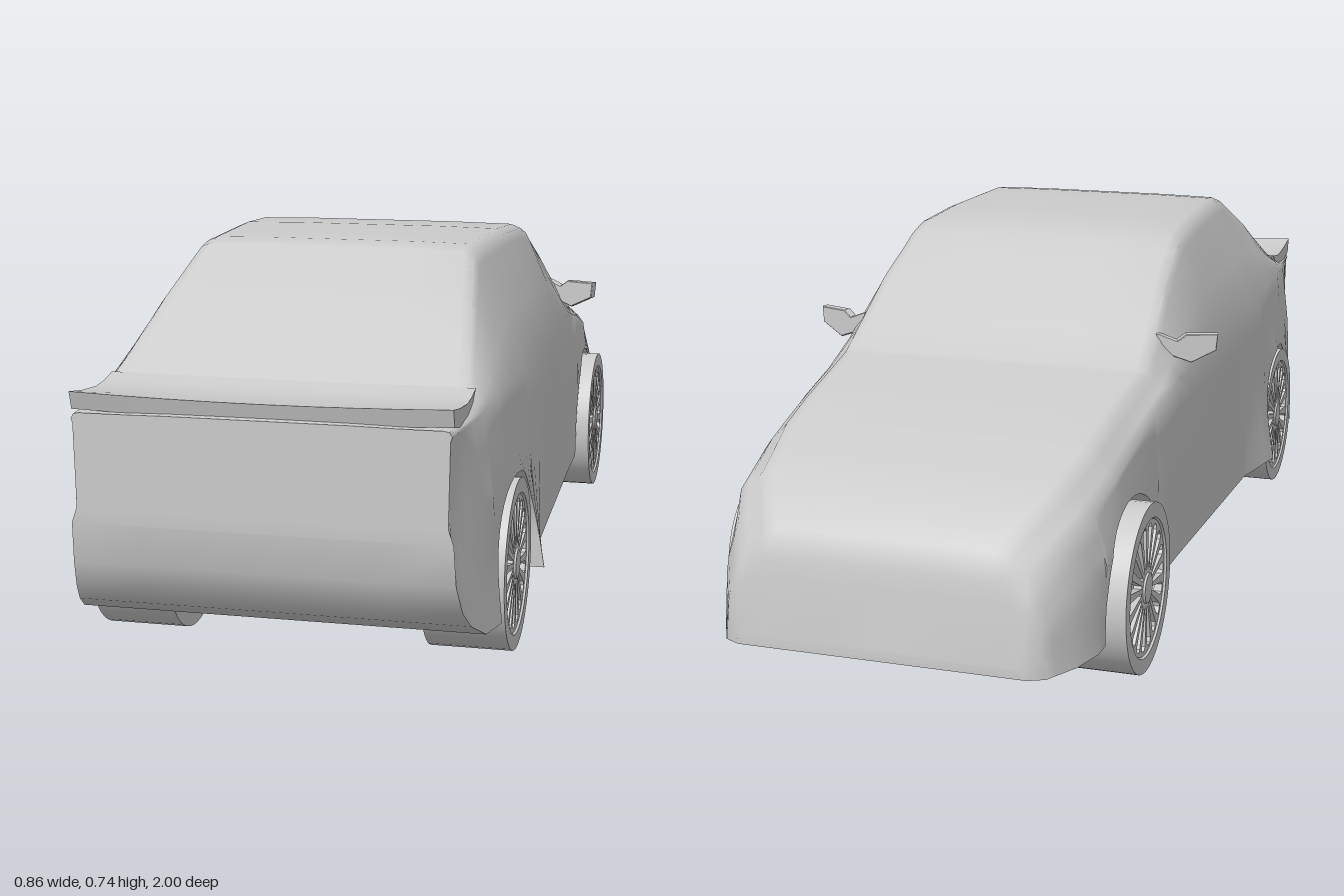
import * as THREE from 'three';
import { toCreasedNormals } from 'three/addons/utils/BufferGeometryUtils.js';

const grey = new THREE.MeshStandardMaterial({ color: 0xcccccc, side: THREE.DoubleSide });
const AXLES = [-0.632, 0.628], WHEEL_R = 0.163, ARCH_R = 0.175;

// A value that varies along z through a few [z, value] knots; the knots also become body stations
const stations = new Set();
function along(...knots) {
  knots.forEach(([z]) => stations.add(z));
  return z => {
    const i = Math.max(1, knots.findIndex(k => k[0] >= z));
    const [z0, v0] = knots[i - 1], [z1, v1] = knots[i];
    return THREE.MathUtils.mapLinear(z, z0, z1, v0, v1);
  };
}

// Heights, nose at -z: floor, belt line, centre top, and how far the roof edge sits below the top
const floorY = along([-1, .113], [.45, .104], [.87, .104], [.93, .137], [.965, .172], [.99, .225], [1, .3]);
const beltY = along([-1, .125], [-.98, .25], [-.92, .315], [-.85, .355], [-.5, .445], [-.3, .485], [.6, .505], [1, .48]);
const topY = along([-1, .135], [-.98, .28], [-.965, .33], [-.92, .367], [-.85, .404], [-.7, .452], [-.6, .476], [-.38, .517],
  [-.2, .64], [-.06, .71], [0, .727], [.15, .735], [.4, .735], [.45, .729], [.6, .65], [.73, .566], [.8, .525], [.87, .505], [1, .5]);
const edgeDrop = along([-1, .005], [-.92, .018], [0, .03], [.45, .03], [.8, .008], [1, .003]);

// Half widths: sill, mid side, belt line, roof edge
const sillW = along([-1, .275], [-.985, .305], [-.92, .34], [-.85, .36], [-.3, .368], [.28, .385], [.45, .42], [.52, .403], [.8, .395], [1, .342]);
const midW = along([-1, .275], [-.98, .3], [-.92, .332], [-.8, .364], [-.4, .368], [.3, .385], [.6, .395], [.87, .37], [1, .332]);
const beltW = along([-1, .275], [-.98, .28], [-.92, .305], [-.85, .332], [-.7, .35], [-.4, .36], [.1, .378], [.4, .38], [.7, .37], [1, .335]);
const roofW = along([-1, .265], [-.965, .235], [-.92, .26], [-.85, .293], [-.7, .315], [-.38, .33], [-.1, .308], [.45, .285], [.8, .338], [1, .333]);

// The sill rises in a circular arch over each wheel
function sillY(z) {
  const d = Math.min(...AXLES.map(c => Math.abs(z - c)));
  return d <= ARCH_R + 1e-6 ? WHEEL_R + Math.sqrt(Math.max(0, ARCH_R ** 2 - d * d)) : floorY(z);
}

// Half cross-section from floor centre, up the side, to roof centre
function halfSection(z) {
  const base = floorY(z), sill = sillY(z), belt = beltY(z), top = topY(z);
  const roofEdge = top - edgeDrop(z), wBelt = beltW(z), wRoof = roofW(z);
  const midY = Math.min(.33, base + .6 * (belt - base));
  const width = y => y < midY
    ? midW(z) + (sillW(z) - midW(z)) * ((midY - y) / (midY - base)) ** 1.3
    : THREE.MathUtils.mapLinear(y, midY, belt, midW(z), wBelt);
  const pts = [[0, base], [.22, base], [.22, sill]];
  for (let k = 0; k <= 6; k++) {
    const y = THREE.MathUtils.lerp(sill, belt, k / 6);
    pts.push([width(y), y]);
  }
  pts.push([(wBelt + wRoof) / 2 + .004, (belt + roofEdge) / 2]);
  pts.push([wRoof, roofEdge], [wRoof - .01, top - .35 * edgeDrop(z)], [wRoof - .03, top - .002], [wRoof * .5, top], [0, top]);
  return pts;
}

function bodyGeometry() {
  for (const c of AXLES) {
    for (let k = 0; k <= 20; k++) stations.add(c - ARCH_R * Math.cos(Math.PI * k / 20));
    stations.add(c - ARCH_R - .001).add(c + ARCH_R + .001);
  }
  const zs = [...stations].sort((a, b) => a - b);
  const pos = [], idx = [];
  const H = halfSection(0).length, N = 2 * H - 2;
  for (const z of zs) {
    const half = halfSection(z);
    const loop = [...half, ...half.slice(1, -1).reverse().map(([x, y]) => [-x, y])];
    for (const [x, y] of loop) pos.push(x, y, z);
  }
  const quad = (a, b, c, d) => idx.push(a, b, c, a, c, d);
  for (let i = 0; i < zs.length - 1; i++)
    for (let j = 0; j < N; j++) {
      const k = (j + 1) % N;
      quad(i * N + j, i * N + k, (i + 1) * N + k, (i + 1) * N + j);
    }
  // nose and tail caps
  const last = (zs.length - 1) * N;
  for (let j = 0; j < H - 1; j++) {
    const l0 = (N - j) % N, l1 = N - j - 1;
    quad(last + j, last + j + 1, last + l1, last + l0);
    quad(l0, l1, j + 1, j);
  }
  const g = new THREE.BufferGeometry();
  g.setAttribute('position', new THREE.Float32BufferAttribute(pos, 3));
  g.setIndex(idx);
  return toCreasedNormals(g, .75);
}

function add(parent, name, geometry) {
  const m = new THREE.Mesh(geometry, grey);
  m.name = name;
  parent.add(m);
  return m;
}

// Wheel along local z, outer face at z = 0
function makeWheel() {
  const wheel = new THREE.Group();
  const profile = [[0, -.155], [WHEEL_R, -.155], [WHEEL_R, 0], [.134, 0], [.13, -.008], [.13, -.03], [0, -.03]];
  const tyre = new THREE.LatheGeometry(profile.map(p => new THREE.Vector2(...p)), 48);
  tyre.rotateX(Math.PI / 2);
  add(wheel, 'tyre', toCreasedNormals(tyre, .5));

  // rim disc with a ring of slots between the spokes
  const rim = new THREE.Shape().absarc(0, 0, .131, 0, Math.PI * 2);
  const slot = [[.04, -.003], [.115, -.012], [.123, -.007], [.123, .007], [.115, .012], [.04, .003]];
  for (let k = 0; k < 18; k++) {
    const a = k / 18 * Math.PI * 2;
    rim.holes.push(new THREE.Path(slot.map(p => new THREE.Vector2(...p).rotateAround(new THREE.Vector2(), a))));
  }
  const spokes = new THREE.ExtrudeGeometry(rim, { depth: .016, bevelEnabled: false, curveSegments: 24 });
  add(wheel, 'spokedRim', spokes).position.z = -.02;
  const hub = new THREE.CylinderGeometry(.028, .032, .01, 24).rotateX(Math.PI / 2);
  add(wheel, 'hubCap', hub).position.z = -.005;
  return wheel;
}

// Door mirror: a thin tapering blade with a foot on the door
function makeMirror(side) {
  const outline = [[.432, .566], [.37, .566], [.352, .553], [.31, .57], [.315, .535], [.38, .511], [.429, .535]];
  const shape = new THREE.Shape(outline.map(([x, y]) => new THREE.Vector2(side * (x - .38), y)));
  const g = new THREE.ExtrudeGeometry(shape, { depth: .01, bevelEnabled: true, bevelSize: .002, bevelThickness: .005, bevelSegments: 2 });
  g.translate(0, 0, -.005);
  g.rotateY(-side * .35);
  g.translate(side * .378, 0, -.255);
  return toCreasedNormals(g, .5);
}

export function createModel() {
  const car = new THREE.Group();
  car.name = 'car';
  add(car, 'body', bodyGeometry());

  // tail spoiler: side profile extruded across the car
  const lip = [[1, .536], [.99, .503], [.87, .478], [.79, .53], [.83, .522], [.87, .519], [.94, .526]];
  const spoilerShape = new THREE.Shape(lip.map(([z, y]) => new THREE.Vector2(-z, y)));
  const spoiler = new THREE.ExtrudeGeometry(spoilerShape, { depth: .68, steps: 8, bevelEnabled: false });
  spoiler.translate(0, 0, -.34).rotateY(Math.PI / 2);
  // dip and bow towards the middle, growing to the trailing edge
  const p = spoiler.attributes.position;
  for (let i = 0; i < p.count; i++) {
    const bow = (1 - (p.getX(i) / .34) ** 2) * (Math.abs(p.getZ(i)) - .79) / .21;
    p.setY(i, p.getY(i) - .009 * bow);
    p.setZ(i, p.getZ(i) - .01 * bow);
  }
  add(car, 'spoiler', toCreasedNormals(spoiler, .5));

  for (const side of [-1, 1]) {
    add(car, side > 0 ? 'leftMirror' : 'rightMirror', makeMirror(side));
    for (const z of AXLES) {
      const wheel = makeWheel();
      wheel.name = (z < 0 ? 'bonnetEnd' : 'tailEnd') + (side > 0 ? 'LeftWheel' : 'RightWheel');
      wheel.position.set(side * .395, WHEEL_R, z);
      wheel.rotation.y = side * Math.PI / 2;
      car.add(wheel);
    }
  }
  return car;
}
